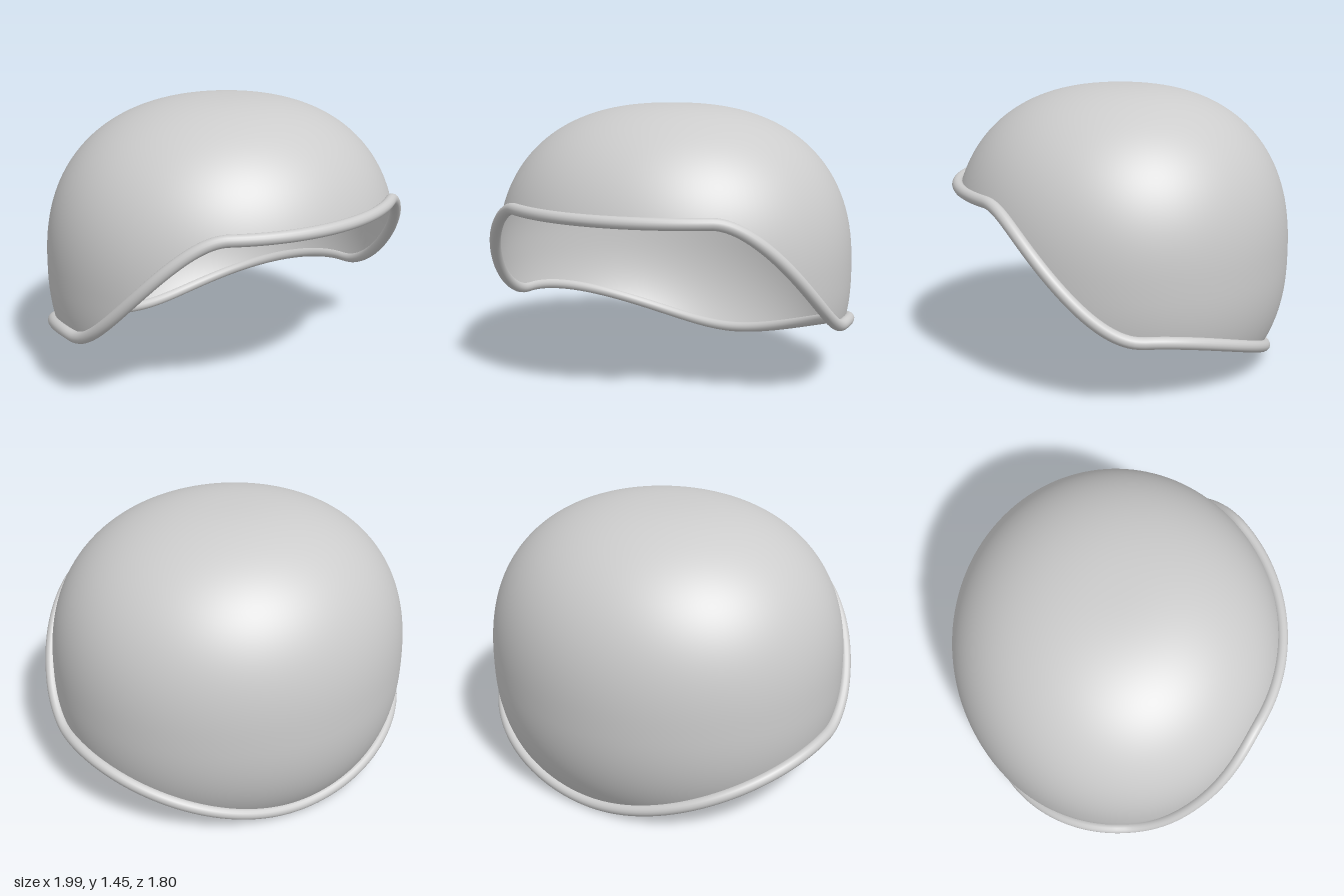
import * as THREE from 'three';

const HALF_WIDTH = 0.97, HALF_DEPTH = 0.9;   // dome radii in x and z
const EQUATOR = 0.58, UP = 0.87, DOWN = 0.84; // widest level, reach above and below
const POWER = 2.4;                            // roundness of the dome profile
const COLUMNS = 128, ROWS = 48;

// Height of the opening's edge; angle is 0 at the front and PI at the back
function rimHeight(angle) {
  const a = Math.abs(Math.atan2(Math.sin(angle), Math.cos(angle)));
  const side = Math.PI / 2, brow = THREE.MathUtils.degToRad(35);
  if (a < side) return 0.935 - 0.59 * THREE.MathUtils.smoothstep(a, brow, side);
  return 0.345 - 0.312 * THREE.MathUtils.smoothstep(a, side, Math.PI);
}

// Polar angle on the dome at which it reaches height y
function polarAt(y) {
  const t = (y - EQUATOR) / (y > EQUATOR ? UP : DOWN);
  return Math.acos(Math.sign(t) * Math.pow(Math.abs(t), POWER / 2));
}

function domePoint(angle, polar) {
  const c = Math.cos(polar);
  const r = Math.pow(Math.max(Math.sin(polar), 0), 2 / POWER);
  const h = Math.sign(c) * Math.pow(Math.abs(c), 2 / POWER) * (c > 0 ? UP : DOWN);
  return new THREE.Vector3(
    HALF_WIDTH * r * Math.sin(angle), EQUATOR + h, HALF_DEPTH * r * Math.cos(angle));
}

// Dome surface: each column runs from the crown down to the rim
function shellGeometry() {
  const positions = [], index = [];
  for (let j = 0; j <= ROWS; j++) {
    for (let i = 0; i < COLUMNS; i++) {
      const angle = (i / COLUMNS) * Math.PI * 2;
      const p = domePoint(angle, polarAt(rimHeight(angle)) * j / ROWS);
      positions.push(p.x, p.y, p.z);
      if (j === ROWS) continue;
      const a = j * COLUMNS + i, b = j * COLUMNS + (i + 1) % COLUMNS;
      if (j > 0) index.push(a, b + COLUMNS, b);
      index.push(a, a + COLUMNS, b + COLUMNS);
    }
  }
  const geometry = new THREE.BufferGeometry();
  geometry.setAttribute('position', new THREE.Float32BufferAttribute(positions, 3));
  geometry.setIndex(index);
  geometry.computeVertexNormals();
  // The crown points all face straight up
  for (let i = 0; i < COLUMNS; i++) geometry.attributes.normal.setXYZ(i, 0, 1, 0);
  return geometry;
}

// Rolled edge following the opening, set slightly outside the dome
function rimGeometry() {
  const points = [];
  for (let i = 0; i < COLUMNS; i++) {
    const angle = (i / COLUMNS) * Math.PI * 2;
    const p = domePoint(angle, polarAt(rimHeight(angle)));
    p.x += 0.017 * Math.sin(angle);
    p.z += 0.017 * Math.cos(angle);
    points.push(p);
  }
  const path = new THREE.CatmullRomCurve3(points, true);
  return new THREE.TubeGeometry(path, 256, 0.03, 16, true);
}

export function createModel() {
  const grey = new THREE.MeshStandardMaterial({ color: 0xcccccc, side: THREE.DoubleSide });
  grey.name = 'light grey';

  const shell = new THREE.Mesh(shellGeometry(), grey);
  shell.name = 'helmetShell';
  const rim = new THREE.Mesh(rimGeometry(), grey);
  rim.name = 'rolledRim';

  const model = new THREE.Group();
  model.name = 'helmet';
  model.add(shell, rim);
  return model;
}
